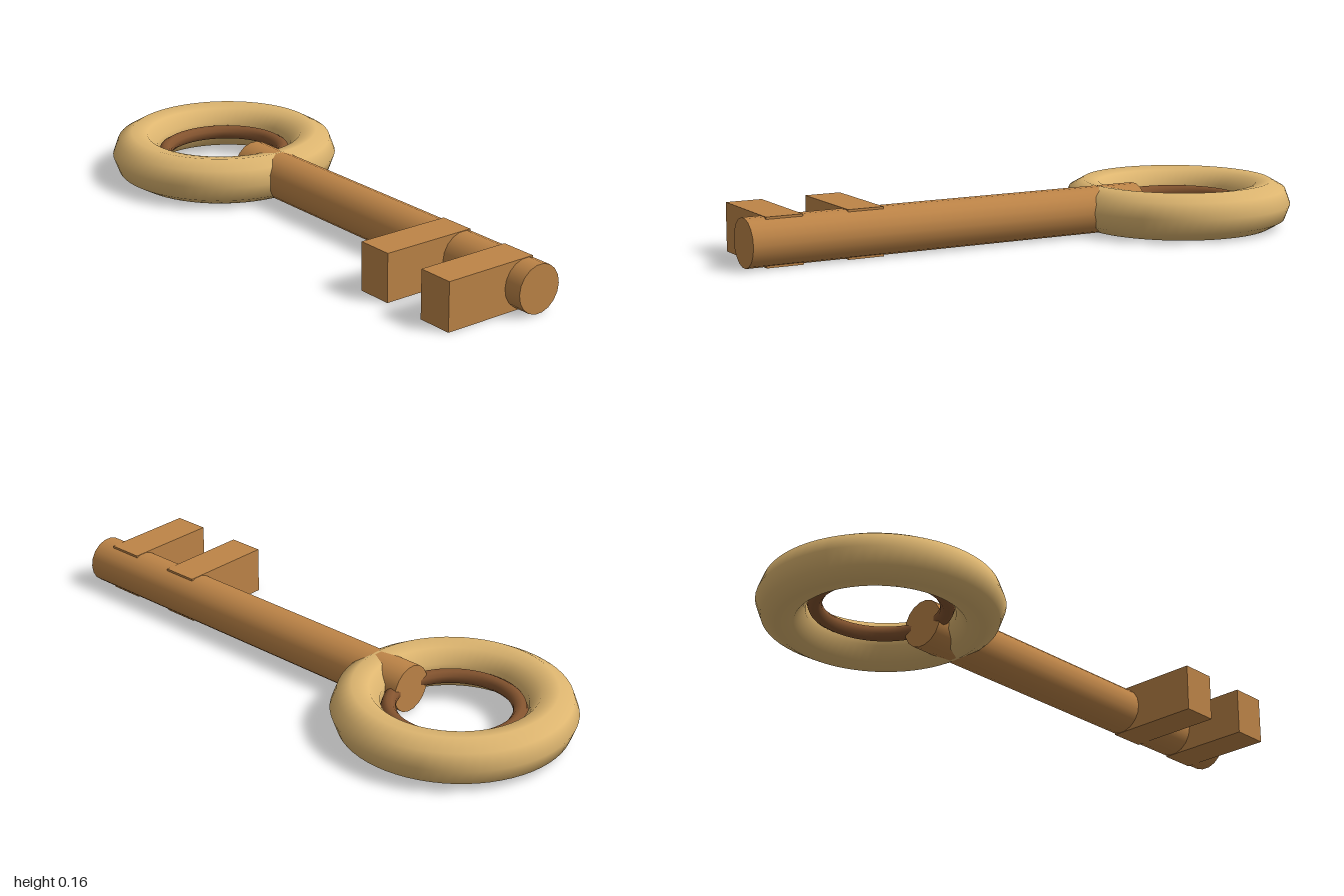
import * as THREE from 'three';

export function createModel() {
  const key = new THREE.Group();
  key.name = 'key';
  const material = (name, color) => {
    const m = new THREE.MeshStandardMaterial({ color });
    m.name = name;
    return m;
  };
  const gold = material('gold', 0xdeb670);
  const bronze = material('bronze', 0xbd8447);
  const brown = material('darkBrown', 0x84542f);

  const MID = 0.081; // height of the key's centre plane
  const RING_X = -0.608;

  const add = (name, geometry, mat, x, y, z) => {
    const mesh = new THREE.Mesh(geometry, mat);
    mesh.name = name;
    mesh.position.set(x, y, z);
    key.add(mesh);
    return mesh;
  };

  // Handle: a thick ring lying flat, with a thin lining inside it
  const ring = (radius, tube) => new THREE.TorusGeometry(radius, tube, 9, 64).rotateX(Math.PI / 2);
  add('handleRing', ring(0.311, 0.0812), gold, RING_X, MID, 0);
  add('innerRing', ring(0.208, 0.0242), brown, RING_X, MID, 0);

  // Shaft: runs through the ring to the tip
  const start = -0.43, end = 1;
  const shaft = new THREE.CylinderGeometry(0.08, 0.08, end - start, 18).rotateZ(-Math.PI / 2);
  add('shaft', shaft, bronze, (start + end) / 2, MID, 0);

  // Two teeth on the front side of the shaft
  [0.597, 0.875].forEach((x, i) => {
    add(`tooth${i + 1}`, new THREE.BoxGeometry(0.124, 0.161, 0.33), bronze, x, MID, 0.135);
  });

  return key;
}
